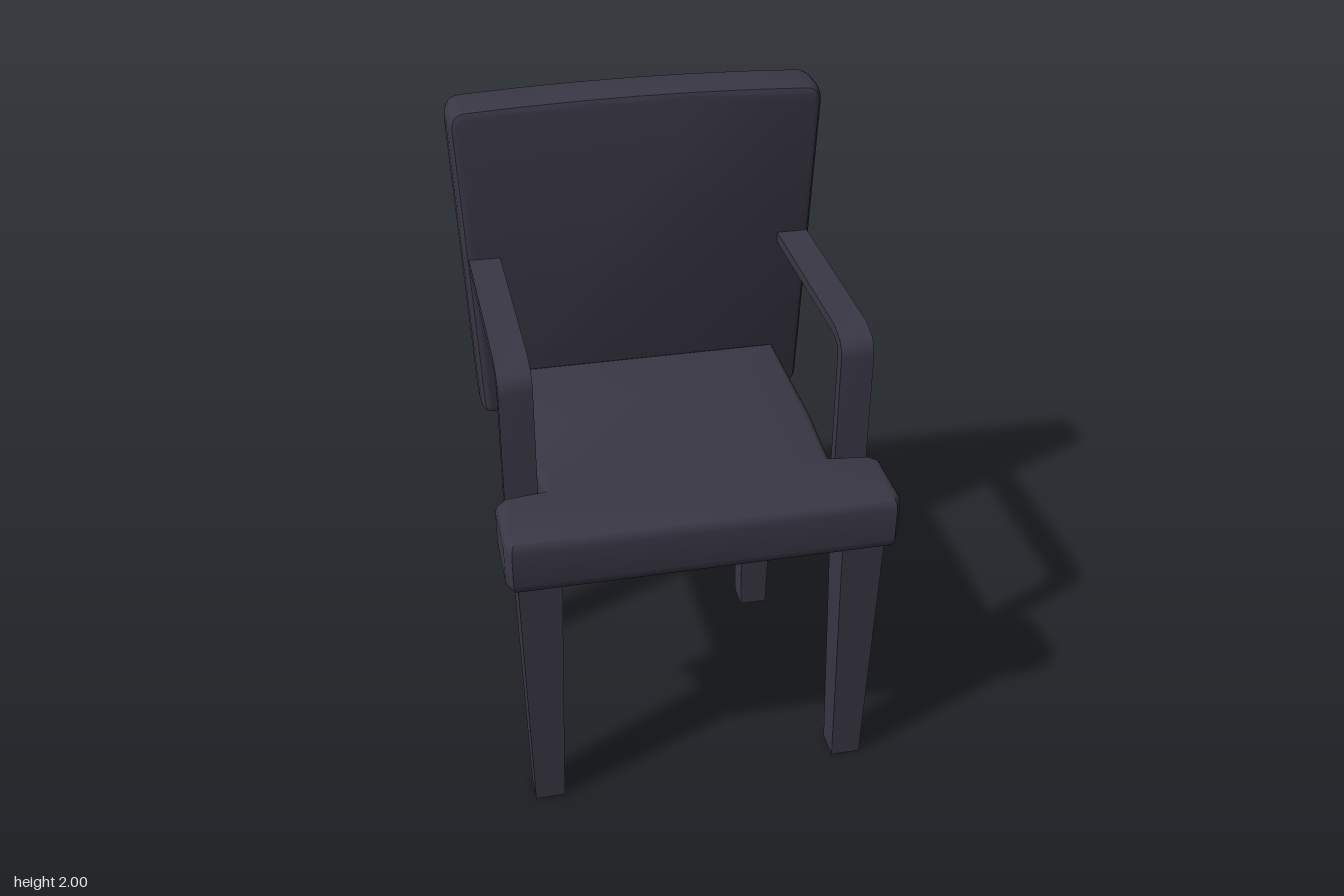
import * as THREE from 'three';
import { toCreasedNormals } from 'three/addons/utils/BufferGeometryUtils.js';

export function createModel() {
  const chair = new THREE.Group();
  chair.name = 'armchair';

  const upholstery = new THREE.MeshStandardMaterial({ color: 0x393745, side: THREE.DoubleSide });
  upholstery.name = 'dark upholstery';
  const board = new THREE.MeshStandardMaterial({ color: 0xc4c4a8 });
  board.name = 'pale board';

  const add = (name, geometry, material = upholstery) => {
    const mesh = new THREE.Mesh(geometry, material);
    mesh.name = name;
    chair.add(mesh);
    return mesh;
  };

  // Cushion: an outline with rounded-over edges, thickness running along +z from 0
  const cushion = (shape, thickness, bevelDepth, bevelSize) => {
    const g = new THREE.ExtrudeGeometry(shape, {
      depth: thickness - 2 * bevelDepth, bevelThickness: bevelDepth,
      bevelSize, bevelOffset: -bevelSize, bevelSegments: 3, curveSegments: 6,
    });
    g.translate(0, 0, bevelDepth);
    return toCreasedNormals(g, 0.6);
  };

  // T-shaped seat, notched behind its front edge for the arms (outline in x, z)
  const right = [[0.465, -0.42], [0.465, 0.05], [0.45, 0.32], [0.57, 0.335], [0.6, 0.365], [0.6, 0.56], [0.58, 0.595]];
  const left = right.map(([x, z]) => [-x, z]).reverse();
  const seatShape = new THREE.Shape([...right, ...left].map(([x, z]) => new THREE.Vector2(x, z)));
  const seat = cushion(seatShape, 0.18, 0.035, 0.025);
  seat.rotateX(Math.PI / 2);
  seat.translate(0, 1.06, 0);
  add('seat', seat);

  // Backrest widens upward and has a slightly crowned top
  const backShape = new THREE.Shape();
  backShape.moveTo(-0.52, 0.88);
  backShape.lineTo(0.52, 0.88);
  backShape.quadraticCurveTo(0.556, 0.88, 0.558, 0.92);
  backShape.lineTo(0.604, 1.92);
  backShape.quadraticCurveTo(0.604, 1.98, 0.55, 1.985);
  backShape.quadraticCurveTo(0, 2.015, -0.55, 1.985);
  backShape.quadraticCurveTo(-0.604, 1.98, -0.604, 1.92);
  backShape.lineTo(-0.558, 0.92);
  backShape.quadraticCurveTo(-0.556, 0.88, -0.52, 0.88);
  const back = cushion(backShape, 0.175, 0.05, 0.028);
  back.translate(0, 0, -0.595);
  add('backrest', back);

  // Board under the seat
  const base = new THREE.BoxGeometry(0.87, 0.065, 0.84);
  base.translate(0, 0.8475, 0.06);
  add('seatBoard', base, board);

  // Tapered square legs, open at the ends
  const leg = (x, z, top, bottom) => {
    const tube = new THREE.CylinderGeometry(top / Math.SQRT2, bottom / Math.SQRT2, 0.88, 4, 1, true);
    tube.rotateY(Math.PI / 4);
    const g = tube.toNonIndexed();
    g.computeVertexNormals();
    g.translate(x, 0.44, z);
    return g;
  };

  // Arm strip profile (z, y): up the post, round the bend, back to the backrest
  const armShape = new THREE.Shape([
    [0.325, 0.815], [0.325, 1.4], [0.318, 1.435], [0.298, 1.455], [0.235, 1.475], [-0.43, 1.475],
    [-0.43, 1.442], [0.238, 1.442], [0.278, 1.425], [0.287, 1.395], [0.287, 0.815],
  ].map(([z, y]) => new THREE.Vector2(z, y)));

  for (const [side, s] of [['left', 1], ['right', -1]]) {
    add(side + 'FrontLeg', leg(s * 0.4975, 0.485, 0.133, 0.094));
    add(side + 'RearLeg', leg(s * 0.397, -0.363, 0.125, 0.094));

    const arm = new THREE.ExtrudeGeometry(armShape, { depth: 0.102, bevelEnabled: false });
    arm.rotateY(-Math.PI / 2);
    arm.translate(0.051 + s * 0.516, 0, 0);
    add(side + 'Arm', toCreasedNormals(arm, 0.7));
  }

  return chair;
}
